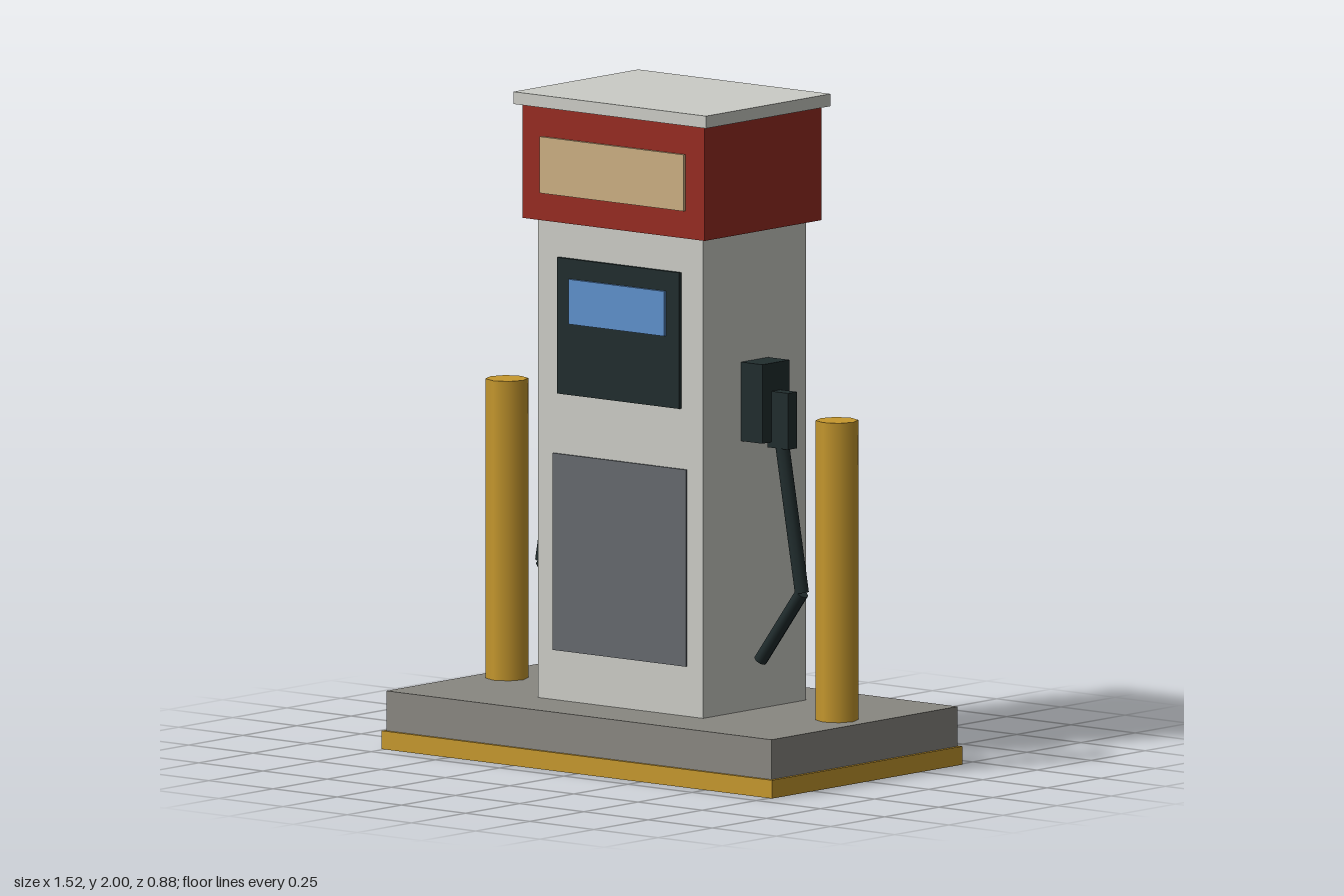
import * as THREE from 'three';

const paint = (name, color) => {
  const m = new THREE.MeshStandardMaterial({ color });
  m.name = name;
  return m;
};

export function createModel() {
  const model = new THREE.Group();
  model.name = 'fuelPump';

  const yellow = paint('safetyYellow', 0xc6982e);
  const concrete = paint('concreteGrey', 0x898781);
  const white = paint('offWhite', 0xcbccc6);
  const red = paint('signRed', 0x962b22);
  const cream = paint('signCream', 0xcbae82);
  const dark = paint('darkRubber', 0x212d2e);
  const blue = paint('displayBlue', 0x5e90cc);
  const slate = paint('panelSlate', 0x65696e);

  const add = (name, geometry, material) => {
    const mesh = new THREE.Mesh(geometry, material);
    mesh.name = name;
    model.add(mesh);
    return mesh;
  };

  // Box given by its extents on each axis
  const box = (name, material, [x0, x1], [y0, y1], [z0, z1]) =>
    add(name, new THREE.BoxGeometry(x1 - x0, y1 - y0, z1 - z0), material)
      .position.set((x0 + x1) / 2, (y0 + y1) / 2, (z0 + z1) / 2);

  // Straight round rod between two points
  const rod = (name, material, a, b, radius) => {
    const dir = b.clone().sub(a);
    const mesh = add(name, new THREE.CylinderGeometry(radius, radius, dir.length(), 8), material);
    mesh.position.copy(a).add(b).multiplyScalar(0.5);
    mesh.quaternion.setFromUnitVectors(new THREE.Vector3(0, 1, 0), dir.normalize());
  };

  // Island, cabinet and canopy
  box('kerb', yellow, [-0.76, 0.76], [0, 0.055], [-0.44, 0.44]);
  box('island', concrete, [-0.75, 0.75], [0.055, 0.175], [-0.43, 0.43]);
  box('cabinet', white, [-0.322, 0.322], [0.175, 1.62], [-0.238, 0.238]);
  box('header', red, [-0.355, 0.355], [1.62, 1.963], [-0.27, 0.27]);
  box('cap', white, [-0.375, 0.375], [1.963, 2], [-0.288, 0.288]);

  // Plates repeated on the front and back faces
  for (const [side, s] of [['front', 1], ['back', -1]]) {
    const plate = (name, material, halfWidth, ys, inner, outer) =>
      box(side + name, material, [-halfWidth, halfWidth], ys,
        s > 0 ? [inner, outer] : [-outer, -inner]);
    plate('Sign', cream, 0.28, [1.703, 1.873], 0.27, 0.279);
    plate('DisplayPanel', dark, 0.238, [1.1, 1.51], 0.238, 0.249);
    plate('Screen', blue, 0.186, [1.315, 1.45], 0.249, 0.258);
    plate('LowerPanel', slate, 0.26, [0.325, 0.918], 0.238, 0.244);
  }

  // Holster, nozzle, hose and bollard on each side
  for (const [side, s] of [['left', 1], ['right', -1]]) {
    const span = (a, b) => (s > 0 ? [a, b] : [-b, -a]);
    const point = (x, y) => new THREE.Vector3(s * x, y, 0);
    box(side + 'Holster', dark, span(0.32, 0.405), [0.99, 1.228], [-0.063, 0.063]);
    box(side + 'Nozzle', dark, span(0.39, 0.47), [0.973, 1.143], [-0.021, 0.021]);
    rod(side + 'HoseUpper', dark, point(0.428, 0.99), point(0.506, 0.543), 0.021);
    rod(side + 'HoseLower', dark, point(0.506, 0.543), point(0.345, 0.325), 0.021);
    rod(side + 'Bollard', yellow, point(0.643, 0.175), point(0.643, 1.077), 0.064);
  }

  return model;
}
